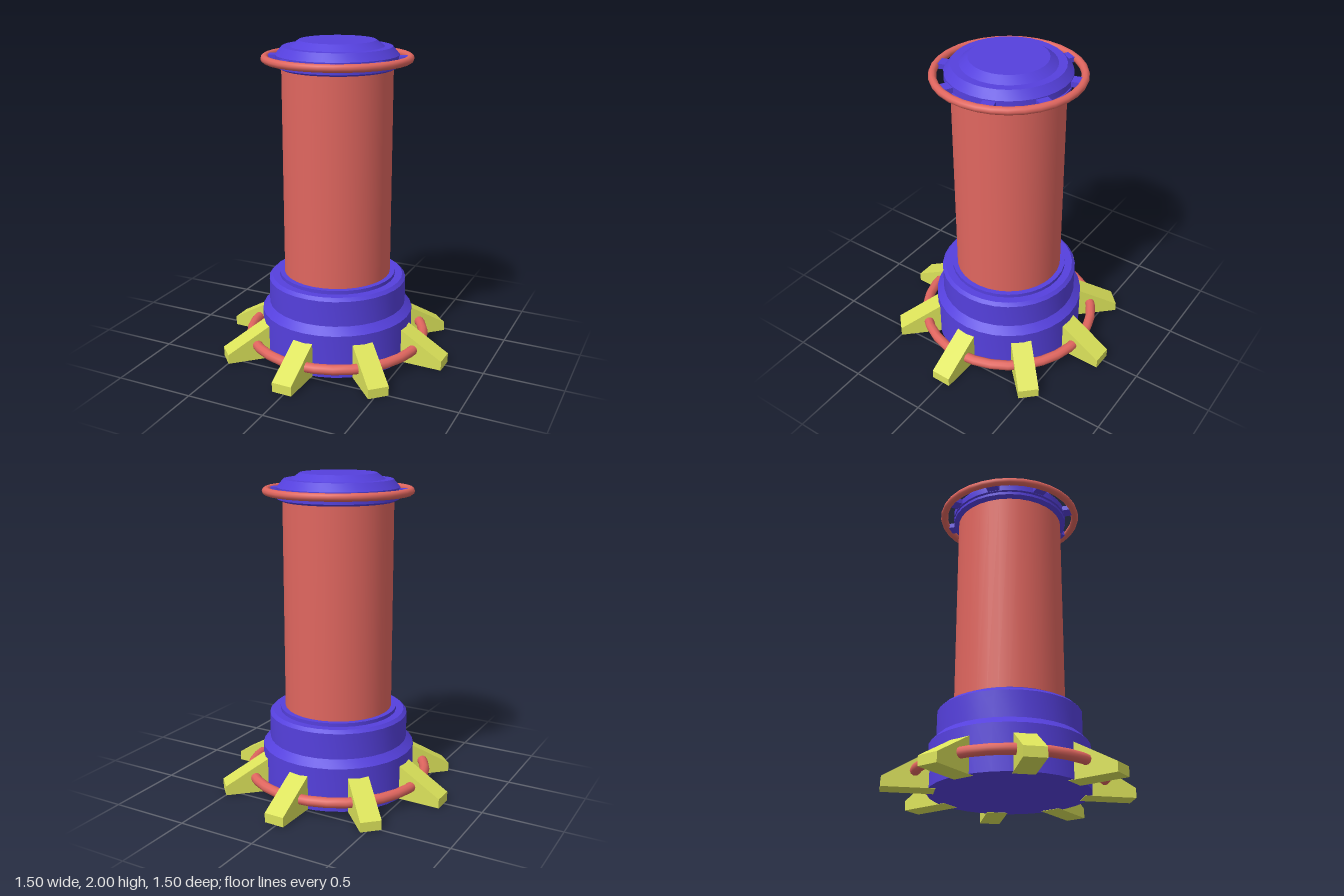
import * as THREE from 'three';
import { toCreasedNormals } from 'three/addons/utils/BufferGeometryUtils.js';

const blue = new THREE.MeshStandardMaterial({ color: 0x5540dd });
const red = new THREE.MeshStandardMaterial({ color: 0xe0665f });
const yellow = new THREE.MeshStandardMaterial({ color: 0xdbe25a });

function add(parent, name, geometry, material) {
  const mesh = new THREE.Mesh(geometry, material);
  mesh.name = name;
  parent.add(mesh);
  return mesh;
}

// Turned part with crisp rims; profile runs from the bottom axis to the top axis
function turned(profile) {
  const points = profile.map(([r, y]) => new THREE.Vector2(r, y));
  return toCreasedNormals(new THREE.LatheGeometry(points, 32), 0.35);
}

// Horizontal hoop
function hoop(radius, tube, y) {
  return new THREE.TorusGeometry(radius, tube, 10, 32).rotateX(Math.PI / 2).translate(0, y, 0);
}

export function createModel() {
  const model = new THREE.Group();
  model.name = 'tower';

  // Stepped base
  add(model, 'base', turned([
    [0, 0.002], [0.485, 0.002], [0.485, 0.28], [0.44, 0.325], [0.44, 0.487],
    [0.42, 0.507], [0.372, 0.507], [0.372, 0.53], [0, 0.53],
  ]), blue);

  // Main column
  add(model, 'column', new THREE.CylinderGeometry(0.34, 0.34, 1.32, 32, 1, true).translate(0, 1.18, 0), red);

  // Stepped cap
  add(model, 'cap', turned([
    [0, 1.832], [0.345, 1.832], [0.372, 1.845], [0.372, 1.862], [0.355, 1.862], [0.355, 1.875],
    [0.375, 1.875], [0.375, 1.915], [0.335, 1.963], [0.285, 1.963], [0.235, 2], [0, 2],
  ]), blue);

  // Hoops around cap and base
  add(model, 'capHoop', hoop(0.439, 0.024, 1.893), red);
  add(model, 'baseHoop', hoop(0.565, 0.032, 0.1), red);

  // Small brackets joining the cap to its hoop
  const bracket = new THREE.BoxGeometry(0.09, 0.032, 0.075).translate(0.385, 1.893, 0);
  for (let i = 0; i < 8; i++) {
    add(model, 'bracket', bracket, blue).rotation.y = THREE.MathUtils.degToRad(18 + 45 * i);
  }

  // Sloping feet
  const side = new THREE.Shape([
    [0.44, 0], [0.75, 0], [0.75, 0.06], [0.48, 0.218], [0.44, 0.218],
  ].map(([x, y]) => new THREE.Vector2(x, y)));
  const foot = new THREE.ExtrudeGeometry(side, { depth: 0.13, bevelEnabled: false }).translate(0, 0, -0.065);
  for (let i = 0; i < 8; i++) {
    add(model, 'foot', foot, yellow).rotation.y = THREE.MathUtils.degToRad(45 * i - 1.1);
  }

  return model;
}
